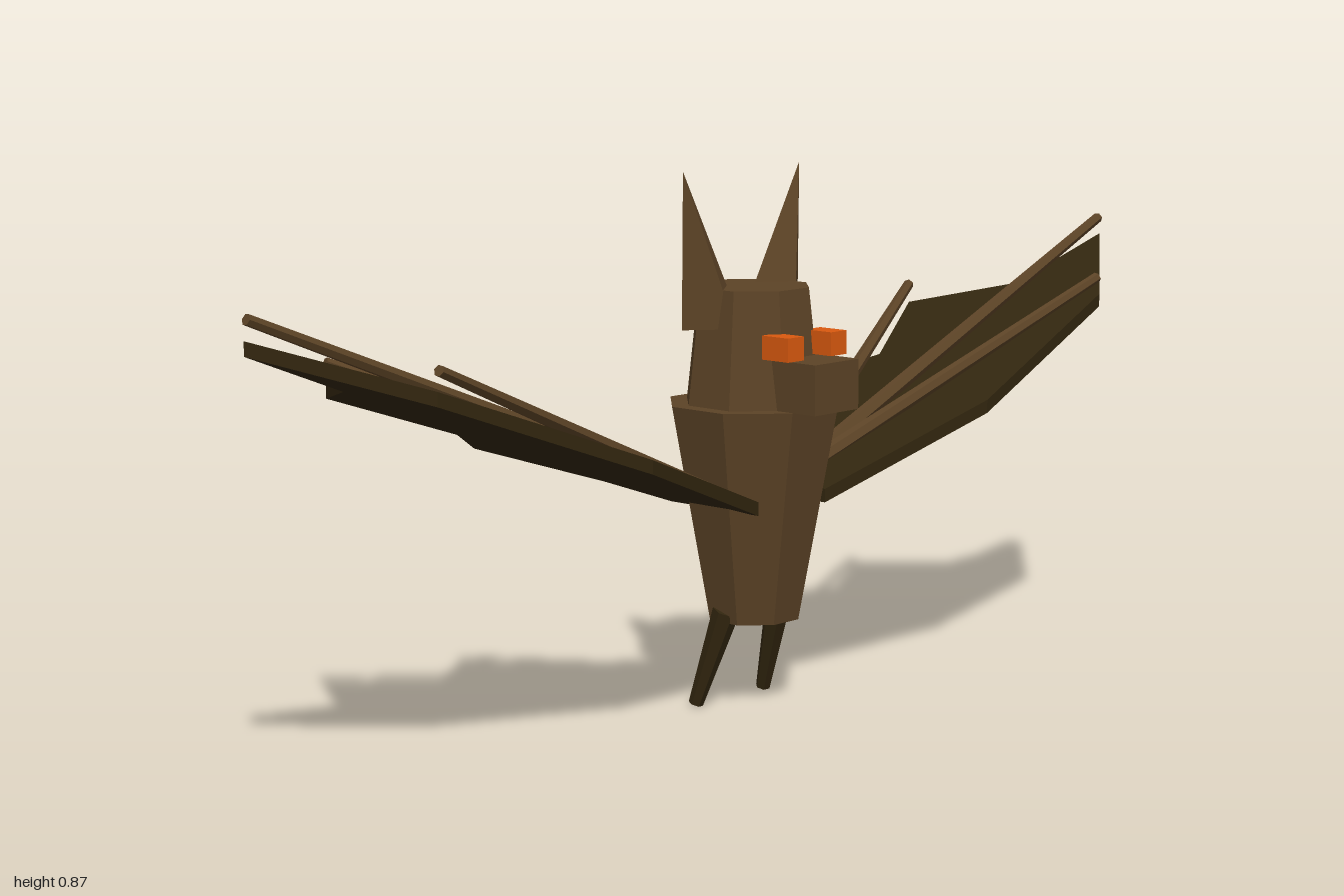
import * as THREE from 'three';
import { ConvexGeometry } from 'three/addons/geometries/ConvexGeometry.js';

const fur = new THREE.MeshStandardMaterial({ color: 0x5c4326, flatShading: true });
fur.name = 'brown fur';
const skin = new THREE.MeshStandardMaterial({ color: 0x32260f, flatShading: true });
skin.name = 'dark wing skin';
const glow = new THREE.MeshStandardMaterial({ color: 0xd9590f, flatShading: true });
glow.name = 'orange eye';

const CENTRE_Z = 0.052;
const SLOPE = 0.366;

function part(name, geometry, material, x = 0, y = 0, z = 0) {
  const mesh = new THREE.Mesh(geometry, material);
  mesh.name = name;
  mesh.position.set(x, y, z);
  return mesh;
}

// Eight-sided frustum with flat faces to the front and sides
function octagon(name, top, bottom, y0, y1) {
  const k = 1 / Math.cos(Math.PI / 8);
  const g = new THREE.CylinderGeometry(top * k, bottom * k, y1 - y0, 8).rotateY(Math.PI / 8);
  return part(name, g, fur, 0, (y0 + y1) / 2, CENTRE_Z);
}

// Tapered rod between two points
function rod(name, from, to, r0, r1, sides, material) {
  const a = new THREE.Vector3(...from), b = new THREE.Vector3(...to);
  const dir = b.clone().sub(a);
  const mesh = part(name, new THREE.CylinderGeometry(r1, r0, dir.length(), sides), material);
  mesh.position.copy(a).add(b).multiplyScalar(0.5);
  mesh.quaternion.setFromUnitVectors(new THREE.Vector3(0, 1, 0), dir.normalize());
  return mesh;
}

// Scalloped membrane outline as x, z
const OUTLINE = [
  [0.08, 0.135], [0.4, 0.213], [0.78, 0.16], [0.995, 0], [0.79, -0.03],
  [0.685, -0.192], [0.5, -0.105], [0.358, -0.22], [0.2, -0.085], [0.08, -0.055],
];
const FINGER_TIPS = [
  [0.99, 0.716, 0], [0.775, 0.637, 0.158], [0.685, 0.605, -0.193], [0.358, 0.487, -0.218],
];

function wing(name, s) {
  const group = new THREE.Group();
  group.name = name;
  const shape = new THREE.Shape(OUTLINE.map(([x, z]) => new THREE.Vector2(s * x, -z)));
  const g = new THREE.ExtrudeGeometry(shape, { depth: 0.022, bevelEnabled: false });
  g.rotateX(-Math.PI / 2);
  // Slope the membrane up toward its tip
  const p = g.attributes.position;
  for (let i = 0; i < p.count; i++) {
    p.setY(i, p.getY(i) + 0.3 + SLOPE * Math.abs(p.getX(i)));
  }
  g.computeVertexNormals();
  group.add(part('wingMembrane', g, skin));
  for (const [x, y, z] of FINGER_TIPS) {
    group.add(rod('wingFinger', [s * 0.08, 0.352, 0.045], [s * x, y, z], 0.015, 0.009, 6, fur));
  }
  return group;
}

// Tall pointed ear with a ridge down its front
function ear(name, s) {
  const points = [
    [0.137, 0.87, 0.027], [0.137, 0.62, 0.024], [0.005, 0.63, 0.024], [0.07, 0.62, 0.078],
  ].map(([x, y, z]) => new THREE.Vector3(s * x, y, z));
  return part(name, new ConvexGeometry(points), fur);
}

export function createModel() {
  const model = new THREE.Group();
  model.name = 'bat';
  model.add(octagon('body', 0.132, 0.071, 0.143, 0.495));
  model.add(octagon('head', 0.086, 0.106, 0.49, 0.682));
  model.add(part('snout', new THREE.BoxGeometry(0.104, 0.08, 0.108), fur, 0, 0.535, 0.174));

  for (const s of [1, -1]) {
    const side = s > 0 ? 'left' : 'right';
    model.add(wing(side + 'Wing', s));
    model.add(ear(side + 'Ear', s));
    model.add(part(side + 'Eye', new THREE.BoxGeometry(0.037, 0.038, 0.055), glow, s * 0.051, 0.596, 0.16));
    model.add(rod(side + 'Leg', [s * 0.063, 0.16, 0.05], [s * 0.081, 0.003, 0], 0.022, 0.012, 6, skin));
  }
  return model;
}
